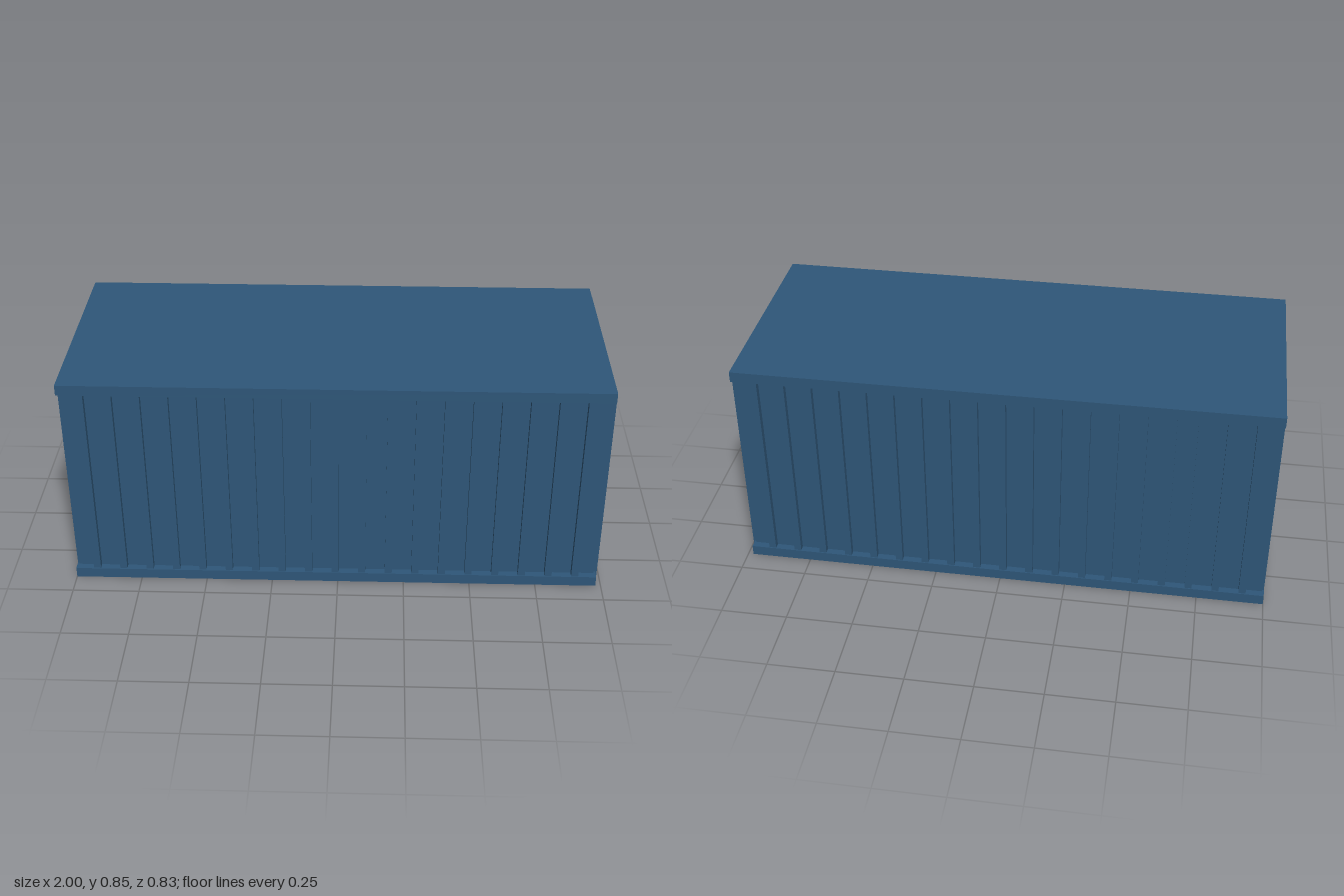
import * as THREE from 'three';

export function createModel() {
  const model = new THREE.Group();
  const blue = new THREE.MeshStandardMaterial({ color: 0x2f5779 });
  blue.name = 'container blue';
  const steel = new THREE.MeshStandardMaterial({ color: 0x808080 });
  steel.name = 'rod steel';

  // Box given by its minimum and maximum corners
  const box = (name, [x0, y0, z0], [x1, y1, z1], parent = model) => {
    const mesh = new THREE.Mesh(new THREE.BoxGeometry(x1 - x0, y1 - y0, z1 - z0), blue);
    mesh.position.set((x0 + x1) / 2, (y0 + y1) / 2, (z0 + z1) / 2);
    mesh.name = name;
    parent.add(mesh);
    return mesh;
  };

  const back = -1, front = 0.98, height = 0.845, rail = 0.04;
  const wallZ = 0.388, railZ = 0.415;

  // Closed hull, with the roof and floor running between the rails
  box('hull', [back + 0.007, 0.01, -wallZ], [front - 0.007, height - 0.008, wallZ]);
  box('roof', [back, height - 0.01, -0.38], [front, height, 0.38]);
  box('floor', [back, 0, -0.38], [front - 0.005, 0.012, 0.38]);
  box('rearPanel', [back, 0.012, -0.38], [back + 0.01, height - 0.01, 0.38]);

  // Long rails and upright wall ribs, mirrored on both sides
  for (const s of [1, -1]) {
    const side = new THREE.Group();
    side.name = s > 0 ? 'frontSide' : 'rearSide';
    const sideBox = (name, x0, x1, y0, y1, z0, z1) =>
      box(name, [x0, y0, Math.min(s * z0, s * z1)], [x1, y1, Math.max(s * z0, s * z1)], side);
    sideBox('bottomRail', back, front, 0, rail, 0.38, railZ);
    sideBox('topRail', back, front, height - rail, height, 0.38, railZ);
    for (let i = 0; i < 19; i++) {
      const x = -0.01 + (i - 9) * 0.101;
      sideBox('wallRib', x - 0.0135, x + 0.0135, rail, height - rail, wallZ - 0.005, 0.411);
    }
    model.add(side);
  }

  // Door end with four locking rods
  box('door', [0.965, 0.018, -0.38], [0.986, 0.829, 0.38]);
  const rodGeometry = new THREE.CylinderGeometry(0.0065, 0.0065, 0.713, 12);
  for (const z of [0.261, 0.115, -0.115, -0.261]) {
    const rod = new THREE.Mesh(rodGeometry, steel);
    rod.name = 'lockingRod';
    rod.position.set(0.9935, 0.4235, z);
    model.add(rod);
  }
  return model;
}
